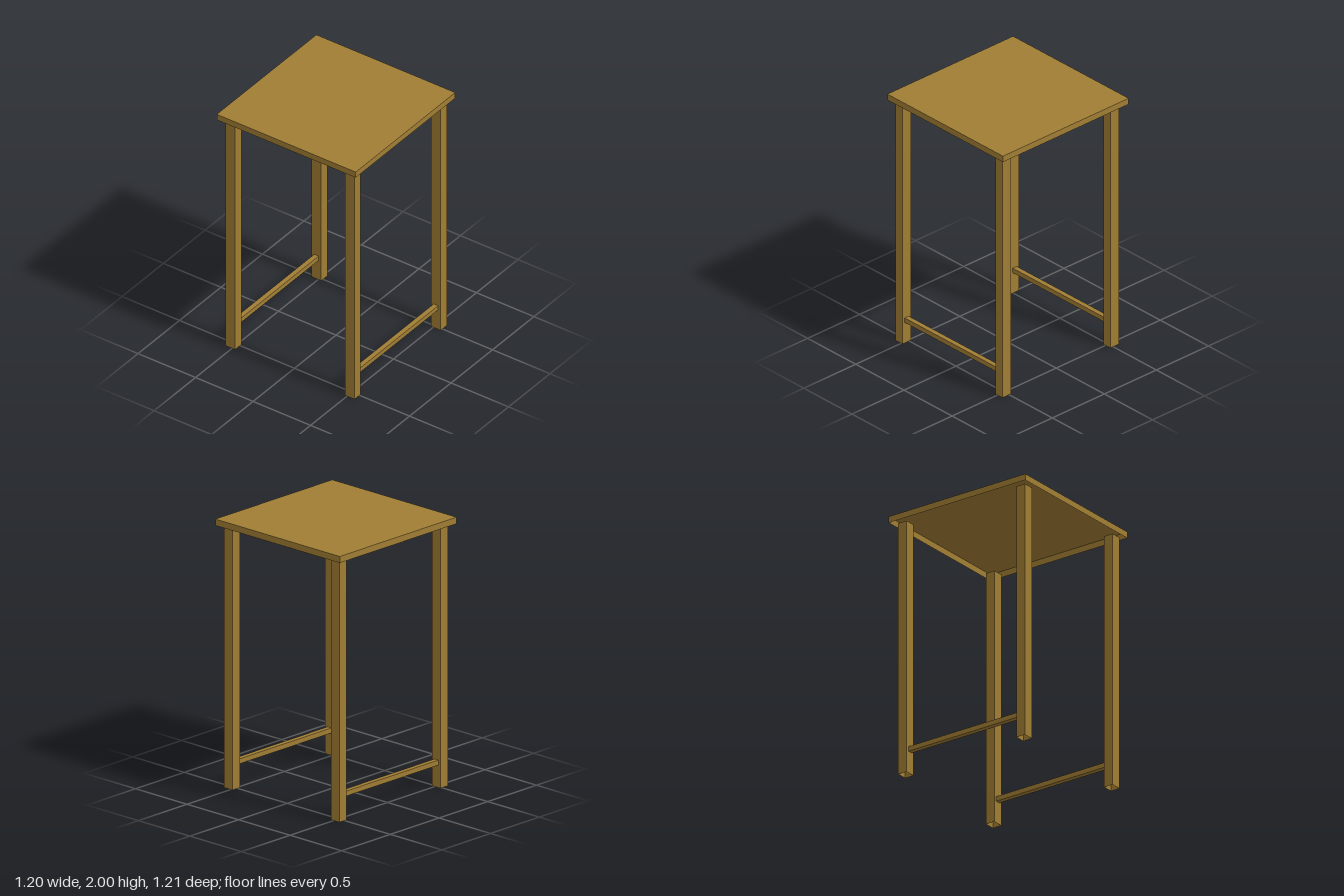
import * as THREE from 'three';

const wood = new THREE.MeshStandardMaterial({ color: 0xa07d34, side: THREE.DoubleSide });
wood.name = 'brown wood';

// Box given by its limits on each axis; openBottom leaves out the downward face
function slab(name, [x0, x1], [y0, y1], [z0, z1], openBottom = false) {
  const geometry = new THREE.BoxGeometry(x1 - x0, y1 - y0, z1 - z0);
  if (openBottom) {
    const index = Array.from(geometry.index.array);
    index.splice(18, 6);
    geometry.setIndex(index);
    geometry.clearGroups();
  }
  const mesh = new THREE.Mesh(geometry, wood);
  mesh.name = name;
  mesh.position.set((x0 + x1) / 2, (y0 + y1) / 2, (z0 + z1) / 2);
  return mesh;
}

export function createModel() {
  const model = new THREE.Group();
  model.name = 'tallTable';

  const underside = 1.952;
  const columns = { Right: [-0.56, -0.486], Left: [0.478, 0.552] };
  const rows = { front: [0.482, 0.565], back: [-0.556, -0.473] };

  // Thin top, hollow underneath
  model.add(slab('tableTop', [-0.6, 0.6], [underside, 2], [-0.604, 0.604], true));

  for (const [row, z] of Object.entries(rows)) {
    // Square hollow legs
    for (const [side, x] of Object.entries(columns)) {
      model.add(slab(`${row}${side}Leg`, x, [0, underside], z, true));
    }
    // Low rail joining the two legs of the row
    const mid = (z[0] + z[1]) / 2;
    model.add(slab(`${row}Rail`, [columns.Right[1], columns.Left[0]], [0.167, 0.204], [mid - 0.019, mid + 0.019]));
  }
  return model;
}
